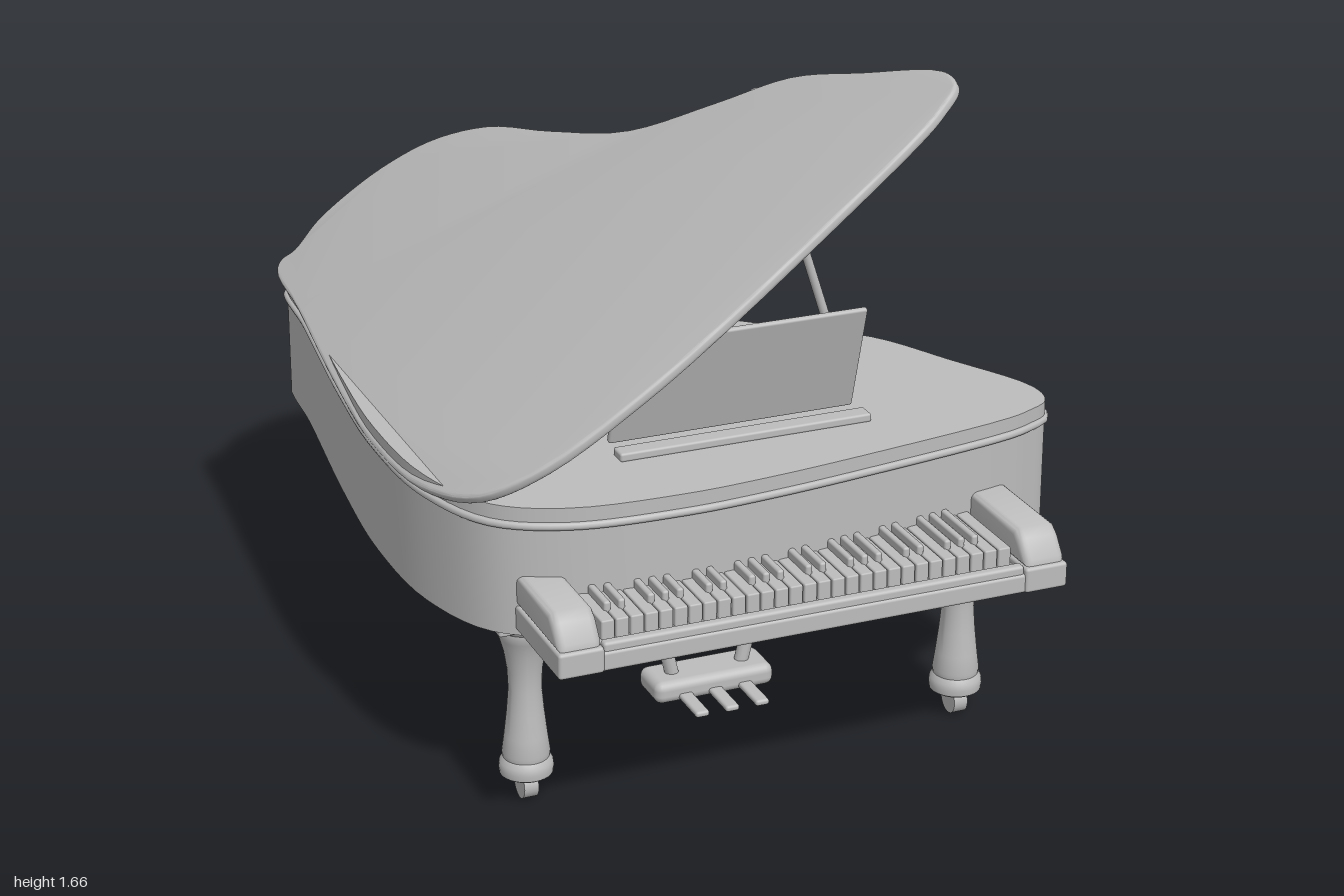
import * as THREE from 'three';
import { toCreasedNormals } from 'three/addons/utils/BufferGeometryUtils.js';
import { RoundedBoxGeometry } from 'three/addons/geometries/RoundedBoxGeometry.js';

const grey = new THREE.MeshStandardMaterial({ color: 0xbcbcbc });
grey.name = 'grey';

// Plan of the case as x, z pairs
const PLAN = [
  [-0.42, -1.0], [-0.29, -0.99], [-0.15, -0.93], [-0.02, -0.78], [0.08, -0.52], [0.21, -0.24],
  [0.40, -0.06], [0.56, 0.08], [0.67, 0.29], [0.78, 0.53], [0.765, 0.62], [0.70, 0.66], [0.63, 0.685],
  [0.24, 0.75], [-0.04, 0.785], [-0.26, 0.797], [-0.53, 0.77], [-0.685, 0.68], [-0.77, 0.47],
  [-0.79, 0.16], [-0.765, -0.185], [-0.71, -0.66], [-0.685, -0.91], [-0.655, -0.94],
  [-0.615, -0.935], [-0.52, -0.985],
];

function mesh(parent, name, geometry, x = 0, y = 0, z = 0) {
  const m = new THREE.Mesh(geometry, grey);
  m.name = name;
  m.position.set(x, y, z);
  parent.add(m);
  return m;
}

// Box given by its limits, optionally with rounded edges
function box(parent, name, [x0, x1], [y0, y1], [z0, z1], r = 0) {
  const s = [x1 - x0, y1 - y0, z1 - z0];
  const g = r ? new RoundedBoxGeometry(...s, 3, r) : new THREE.BoxGeometry(...s);
  return mesh(parent, name, g, (x0 + x1) / 2, (y0 + y1) / 2, (z0 + z1) / 2);
}

// Round bar between two points
function bar(parent, name, a, b, r) {
  const p = new THREE.Vector3(...a), q = new THREE.Vector3(...b);
  const m = mesh(parent, name, new THREE.CylinderGeometry(r, r, p.distanceTo(q), 16));
  m.position.copy(p).add(q).multiplyScalar(0.5);
  m.quaternion.setFromUnitVectors(new THREE.Vector3(0, 1, 0), q.sub(p).normalize());
  return m;
}

const planCurve = (y) => new THREE.CatmullRomCurve3(
  PLAN.map(([x, z]) => new THREE.Vector3(x, y, z)), true, 'centripetal');

// Horizontal slab with the plan outline, standing on y = 0
function slab(height, bevel = 0) {
  const pts = planCurve(0).getPoints(130).slice(0, -1).map((p) => new THREE.Vector2(p.x, -p.z));
  const g = new THREE.ExtrudeGeometry(new THREE.Shape(pts.reverse()), {
    depth: height - 2 * bevel, bevelEnabled: bevel > 0, bevelSize: bevel,
    bevelThickness: bevel, bevelOffset: -bevel, bevelSegments: 3,
  });
  g.translate(0, 0, bevel).rotateX(-Math.PI / 2);
  return toCreasedNormals(g, 0.6);
}

function addLeg(parent, name, x, z) {
  const leg = new THREE.Group();
  leg.name = name;
  leg.position.set(x, 0, z);
  parent.add(leg);
  box(leg, 'legPlate', [-0.095, 0.095], [0.478, 0.502], [-0.095, 0.095], 0.006);
  const profile = [
    [0, 0.062], [0.052, 0.062], [0.064, 0.07], [0.066, 0.085], [0.064, 0.1], [0.056, 0.112], [0.058, 0.125],
    [0.052, 0.17], [0.045, 0.23], [0.04, 0.29], [0.042, 0.34], [0.05, 0.39], [0.06, 0.425],
    [0.066, 0.44], [0.066, 0.452], [0.076, 0.462], [0.078, 0.48],
  ].map((p) => new THREE.Vector2(...p));
  mesh(leg, 'legPost', toCreasedNormals(new THREE.LatheGeometry(profile, 32), 0.7));
  const wheel = new THREE.CylinderGeometry(0.037, 0.037, 0.036, 24).rotateZ(Math.PI / 2);
  mesh(leg, 'caster', wheel, 0, 0.037, 0);
}

function addKeyboard(parent) {
  const keyboard = new THREE.Group();
  keyboard.name = 'keyboard';
  parent.add(keyboard);
  box(keyboard, 'keyBed', [-0.638, 0.635], [0.512, 0.56], [0.67, 0.99], 0.008);
  box(keyboard, 'keySlip', [-0.53, 0.525], [0.543, 0.58], [0.958, 0.985], 0.008);

  // Rounded cheek blocks at both ends
  const side = new THREE.Shape([
    [0.67, 0.57], [0.985, 0.57], [0.982, 0.59], [0.95, 0.632], [0.925, 0.65], [0.67, 0.65],
  ].map((p) => new THREE.Vector2(...p)));
  const cheek = new THREE.ExtrudeGeometry(side, {
    depth: 0.069, bevelSize: 0.018, bevelThickness: 0.018, bevelOffset: -0.018, bevelSegments: 4,
  });
  cheek.translate(0, 0, -0.0345).rotateY(-Math.PI / 2);
  const cheekGeometry = toCreasedNormals(cheek, 0.7);
  for (const x of [-0.586, 0.579]) {
    mesh(keyboard, 'cheekBlock', cheekGeometry, x, 0, 0);
    box(keyboard, 'cheekBase', [x - 0.055, x + 0.055], [0.512, 0.575], [0.67, 0.995], 0.008);
  }

  // White keys, with black keys in groups of two and three
  const count = 29, start = -0.515, step = 1.035 / count;
  const white = new RoundedBoxGeometry(step - 0.003, 0.05, 0.255, 1, 0.004);
  const black = new RoundedBoxGeometry(0.017, 0.045, 0.2, 2, 0.006);
  for (let i = 0; i < count; i++) {
    const x = start + i * step;
    mesh(keyboard, 'whiteKey', white, x + step / 2, 0.58, 0.8);
    if (i < count - 1 && ![2, 6].includes(i % 7)) {
      mesh(keyboard, 'blackKey', black, x + step, 0.604, 0.78);
    }
  }
}

function addPedals(parent) {
  const lyre = new THREE.Group();
  lyre.name = 'pedalLyre';
  parent.add(lyre);
  box(lyre, 'lyrePlate', [-0.12, 0.118], [0.484, 0.502], [0.31, 0.37], 0.004);
  box(lyre, 'pedalBox', [-0.162, 0.156], [0.064, 0.122], [0.277, 0.402], 0.022);
  for (const s of [-1, 1]) {
    const path = new THREE.CatmullRomCurve3([
      [0.062, 0.49], [0.08, 0.4], [0.118, 0.285], [0.122, 0.25], [0.092, 0.11],
    ].map(([x, y]) => new THREE.Vector3(s * x - 0.003, y, 0.34)), false, 'centripetal');
    mesh(lyre, 'lyreRod', new THREE.TubeGeometry(path, 24, 0.018, 12));
  }
  for (const x of [-0.084, -0.004, 0.076]) {
    box(lyre, 'pedal', [x - 0.018, x + 0.018], [0.073, 0.089], [0.38, 0.51], 0.007);
  }
}

export function createModel() {
  const piano = new THREE.Group();
  piano.name = 'grandPiano';

  // Case with its moulding
  mesh(piano, 'case', slab(0.32), 0, 0.5, 0);
  mesh(piano, 'moulding', new THREE.TubeGeometry(planCurve(0.775), 160, 0.01, 8, true));

  // Raised lid, hinged along the left side of the plan
  const hinge = new THREE.Group();
  hinge.name = 'lidHinge';
  hinge.position.set(-0.77, 0.775, 0);
  hinge.rotation.z = THREE.MathUtils.degToRad(33.8);
  mesh(hinge, 'lid', slab(0.026, 0.008), 0.77, 0, 0);
  piano.add(hinge);
  bar(piano, 'lidProp', [0.5, 0.815, -0.053], [0.287, 1.468, -0.053], 0.012);

  // Music desk, its top leaning to the front
  box(piano, 'deskLedge', [-0.325, 0.32], [0.818, 0.84], [0.528, 0.577], 0.006);
  const desk = mesh(piano, 'musicDesk', new RoundedBoxGeometry(0.63, 0.285, 0.016, 2, 0.006), -0.005, 0.968, 0.519);
  desk.rotation.x = Math.atan2(0.075, 0.265);
  const stay = box(piano, 'deskStay', [-0.04, 0.03], [0.99, 1.03], [0.5, 0.518], 0.004);
  stay.rotation.x = desk.rotation.x;

  addKeyboard(piano);
  addPedals(piano);
  addLeg(piano, 'frontRightLeg', -0.573, 0.585);
  addLeg(piano, 'frontLeftLeg', 0.565, 0.585);
  addLeg(piano, 'rearLeg', -0.345, -0.782);
  return piano;
}
